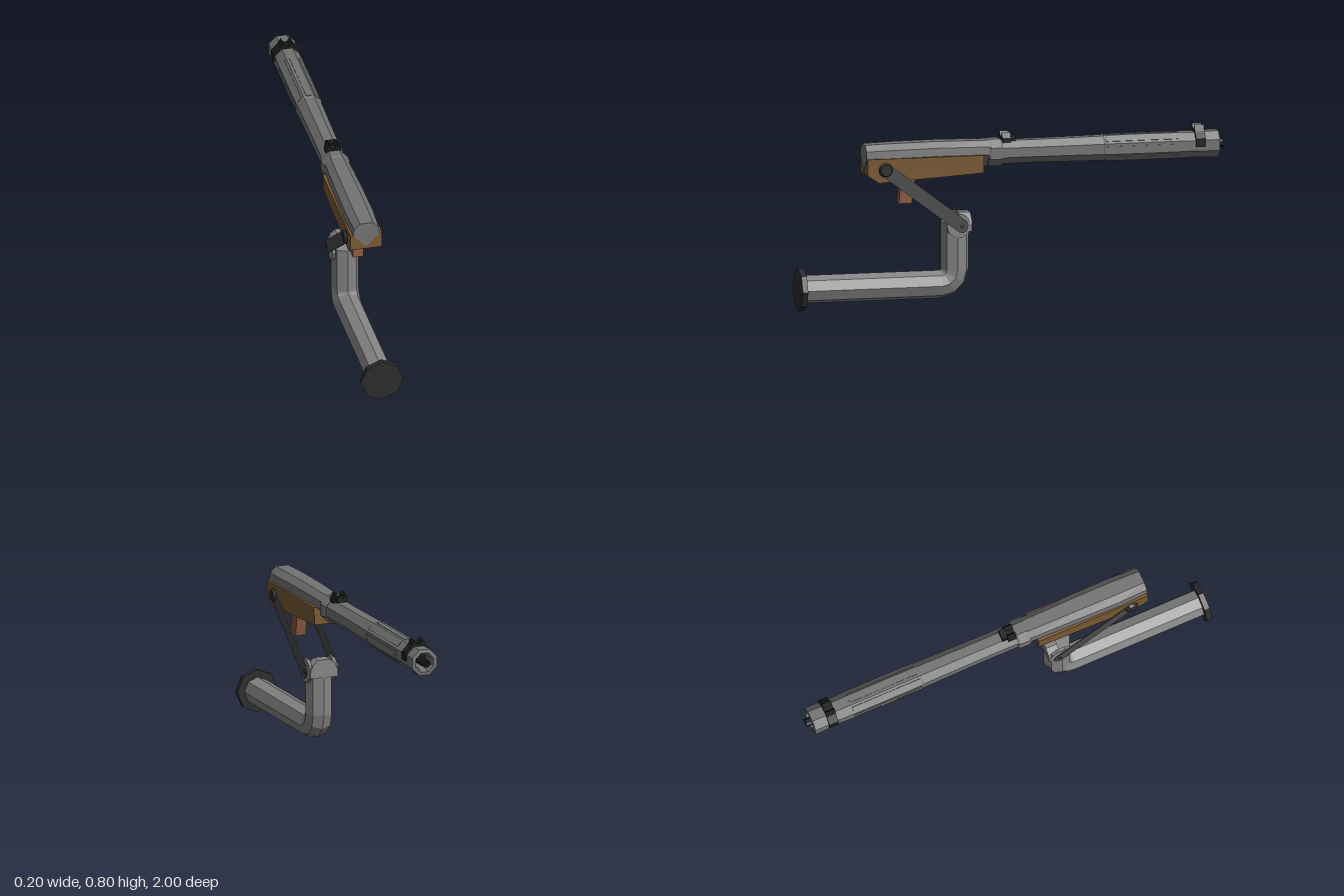
import * as THREE from 'three';

const mat = (color) => new THREE.MeshStandardMaterial({ color, flatShading: true, side: THREE.DoubleSide });

// Skin joining equal-sized rings (counter-clockwise, running front to back), with end caps
function loft(rings) {
  const pos = [], n = rings[0].length;
  const tri = (...p) => p.forEach((v) => pos.push(...v));
  for (let i = 0; i < rings.length - 1; i++) {
    for (let j = 0; j < n; j++) {
      const k = (j + 1) % n, A = rings[i], B = rings[i + 1];
      tri(A[j], B[j], B[k]);
      tri(A[j], B[k], A[k]);
    }
  }
  const last = rings[rings.length - 1];
  for (let j = 1; j < n - 1; j++) {
    tri(rings[0][0], rings[0][j], rings[0][j + 1]);
    tri(last[0], last[j + 1], last[j]);
  }
  const g = new THREE.BufferGeometry();
  g.setAttribute('position', new THREE.Float32BufferAttribute(pos, 3));
  g.computeVertexNormals();
  return g;
}

const shapeOf = (pts) => new THREE.Shape(pts.map(([a, b]) => new THREE.Vector2(a, b)));

// Front outline [x, y] extruded between two depths
const frontExtrude = (pts, z0, z1) =>
  new THREE.ExtrudeGeometry(shapeOf(pts), { depth: z1 - z0, bevelEnabled: false }).translate(0, 0, z0);

// Side outline [z, y] extruded between two widths
const sideExtrude = (pts, x0, x1) =>
  new THREE.ExtrudeGeometry(shapeOf(pts), { depth: x1 - x0, bevelEnabled: false })
    .rotateY(-Math.PI / 2).translate(x1, 0, 0);

export function createModel() {
  const model = new THREE.Group();
  const pipeMat = mat(0x858585), steel = mat(0x737373), black = mat(0x1c1c1c);
  const dark = mat(0x2c2c2c), armMat = mat(0x4a4a4a), wood = mat(0x7a5a34), gripMat = mat(0x875a40);
  const add = (name, geo, material, parent = model) => {
    const m = new THREE.Mesh(geo, material);
    m.name = name;
    parent.add(m);
    return m;
  };

  // Wall flange
  add('baseFlange', new THREE.CylinderGeometry(0.1, 0.1, 0.026, 8).rotateX(Math.PI / 2).translate(0, 0.1, 0.987), dark);

  // Octagonal pipe with an elbow
  const pipeRing = (y, z, phi) => Array.from({ length: 8 }, (_, i) => {
    const a = i * Math.PI / 4, s = 0.065 * Math.sin(a);
    return [0.065 * Math.cos(a), y + s * Math.cos(phi), z + s * Math.sin(phi)];
  });
  const rings = [pipeRing(0.1, 0.98, 0)];
  for (let i = 0; i <= 3; i++) {
    const phi = i * Math.PI / 6;
    rings.push(pipeRing(0.17 - 0.07 * Math.cos(phi), 0.332 - 0.07 * Math.sin(phi), phi));
  }
  rings.push(pipeRing(0.39, 0.262, Math.PI / 2));
  add('bentPipe', loft(rings), pipeMat);

  // Arched knuckle at the top of the pipe
  add('knuckleArch', frontExtrude([
    [-0.069, 0.35], [0.069, 0.35], [0.067, 0.385], [0.055, 0.413], [0.03, 0.435],
    [-0.03, 0.435], [-0.055, 0.413], [-0.067, 0.385]], 0.195, 0.25), pipeMat);

  // Linkage on both sides
  const top = [0.603, 0.65], low = [0.243, 0.377];
  const armAngle = Math.atan2(top[1] - low[1], top[0] - low[0]);
  const armPts = [];
  for (const [c, start] of [[top, -Math.PI / 2], [low, Math.PI / 2]]) {
    for (let i = 0; i <= 4; i++) {
      const a = armAngle + start + i * Math.PI / 4;
      armPts.push([c[0] + 0.033 * Math.cos(a) * 0.85, c[1] + 0.033 * Math.sin(a)]);
    }
  }
  for (const s of [1, -1]) {
    const side = new THREE.Group();
    side.name = s > 0 ? 'leftLinkage' : 'rightLinkage';
    model.add(side);
    const disc = (name, rOut, rIn, w, x, [z, y], material) =>
      add(name, new THREE.CylinderGeometry(rIn, rOut, w, 10).rotateZ(s * Math.PI / 2).translate(s * x, y, z), material, side);
    add('swingArm', sideExtrude(armPts, s * 0.078 - 0.002, s * 0.078 + 0.002), armMat, side);
    disc('knuckleCheek', 0.057, 0.057, 0.014, 0.062, [0.257, 0.377], pipeMat);
    disc('upperBolt', 0.026, 0.034, 0.014, 0.083, top, dark);
    disc('lowerBolt', 0.01, 0.01, 0.016, 0.074, low, dark);
  }

  // Wooden stock, narrowed slightly along its underside
  const stock = sideExtrude([[0.687, 0.702], [0.14, 0.702], [0.14, 0.62], [0.25, 0.613],
    [0.633, 0.59], [0.687, 0.625]], -0.075, 0.075);
  const p = stock.attributes.position;
  for (let i = 0; i < p.count; i++) if (p.getY(i) < 0.622) p.setX(i, p.getX(i) * 0.95);
  add('stock', stock, wood);
  add('stockHatch', new THREE.BoxGeometry(0.06, 0.012, 0.09).rotateX(0.06).translate(0, 0.609, 0.3), dark);
  add('grip', sideExtrude([[0.53, 0.484], [0.47, 0.484], [0.45, 0.62], [0.515, 0.62]], -0.025, 0.025), gripMat);

  // Receiver with a V-shaped keel, swelling a little behind its end face
  const receiverRing = (z, w, y) => [[0, 0.64], [0.062, 0.7], [0.058, 0.737], [0.03, 0.764],
    [-0.03, 0.764], [-0.058, 0.737], [-0.062, 0.7]].map(([x, h]) => [x * w, h + y, z]);
  add('receiver', loft([receiverRing(0.69, 1, -0.002), receiverRing(0.55, 1.1, 0.002),
    receiverRing(0.35, 1.06, 0.004), receiverRing(0.1, 0.95, 0)]), steel);

  // Turned parts: profile of [radius, z], octagonal with flats on top and sides
  const turned = (pts) => new THREE.LatheGeometry(pts.map(([r, z]) => new THREE.Vector2(r, -z)), 8, Math.PI / 8)
    .rotateX(-Math.PI / 2).translate(0, 0.705, 0);
  add('collar', turned([[0, 0.11], [0.063, 0.11], [0.068, 0.1], [0.068, 0.055], [0.062, 0.045], [0, 0.045]]), steel);
  add('barrel', turned([[0.058, 0.05], [0.057, -0.1], [0.061, -0.43], [0.064, -0.435], [0.065, -0.6],
    [0.064, -0.8], [0.062, -0.85], [0.066, -0.94], [0.066, -0.975], [0.048, -0.978], [0.036, -0.93], [0.036, -0.85]]), steel);
  add('bore', turned([[0.036, -0.85], [0, -0.85]]), black);
  add('innerTube', turned([[0.02, -0.85], [0.02, -1], [0.012, -1], [0.012, -0.86], [0, -0.86]]), black);

  // Long raised slats along the rear half of the barrel
  const slats = new THREE.Group();
  slats.name = 'barrelSlats';
  model.add(slats);
  for (let i = 0; i < 8; i++) {
    if (i === 6) continue;
    const slat = add('slat', new THREE.BoxGeometry(0.006, 0.024, 0.34).translate(0.059, 0, -0.61), steel, slats);
    slat.position.y = 0.705;
    slat.rotation.z = i * Math.PI / 4;
  }

  // Horned saddle sights
  add('muzzleSight', frontExtrude([
    [-0.066, 0.7], [-0.066, 0.738], [-0.036, 0.768], [-0.022, 0.797], [-0.008, 0.774], [0.008, 0.774],
    [0.022, 0.797], [0.036, 0.768], [0.066, 0.738], [0.066, 0.7]], -0.907, -0.862), black);
  add('middleSight', frontExtrude([
    [-0.035, 0.75], [-0.035, 0.772], [-0.022, 0.797], [-0.009, 0.774], [0.009, 0.774],
    [0.022, 0.797], [0.035, 0.772], [0.035, 0.75]], 0.005, 0.045), black);
  add('middleSightFoot', new THREE.BoxGeometry(0.05, 0.03, 0.03).translate(0, 0.768, -0.005), black);

  return model;
}
